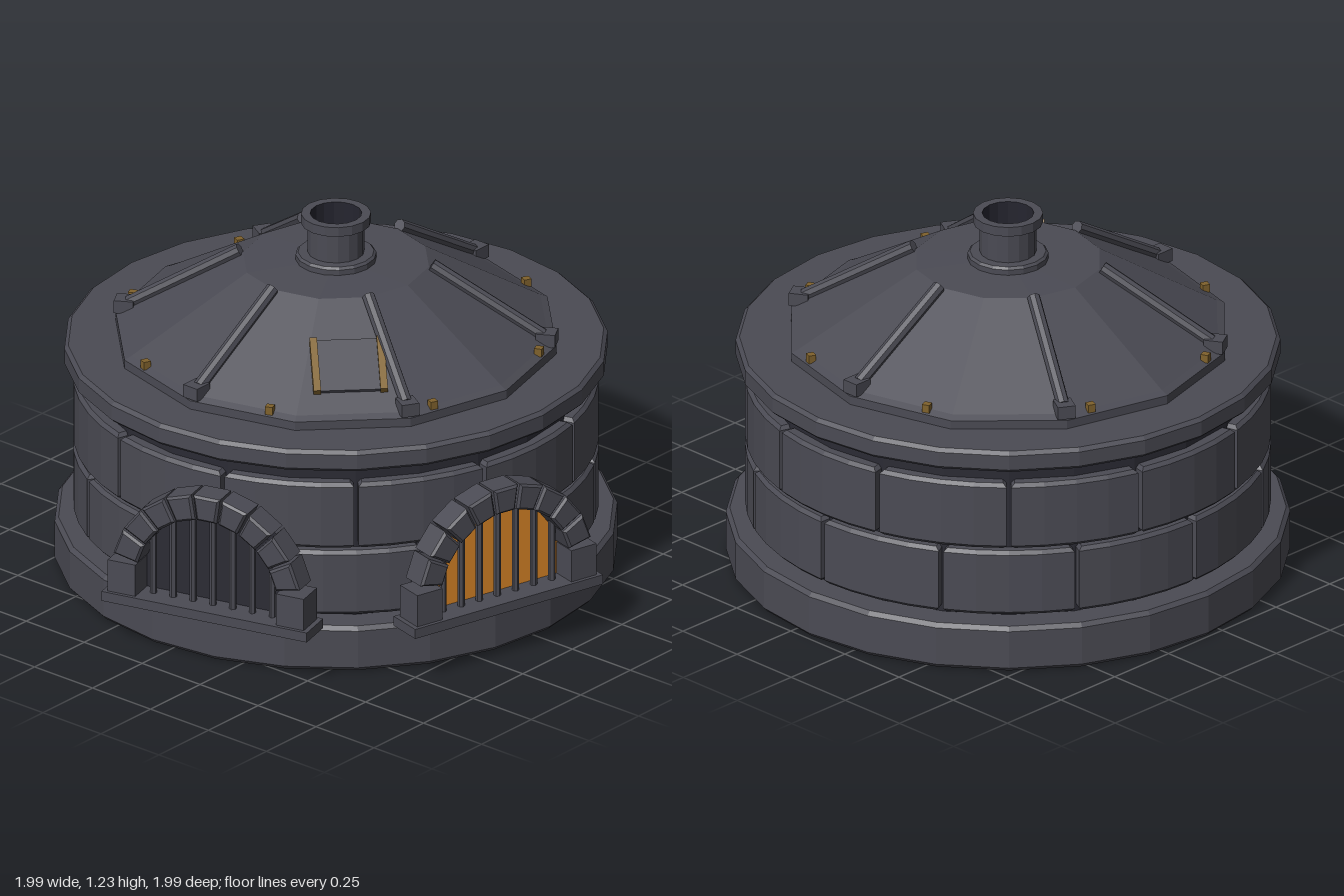
import * as THREE from 'three';

const mat = (name, color) => {
  const m = new THREE.MeshStandardMaterial({ color, flatShading: true });
  m.name = name;
  return m;
};

export function createModel() {
  const stone = mat('stone', 0x4b4b54);
  const dark = mat('dark mortar', 0x2b2b34);
  const soot = mat('soot', 0x25252f);
  const brass = mat('brass', 0x80622c);
  const glow = mat('fire glow', 0xe08a28);

  const model = new THREE.Group();
  model.name = 'furnace';
  const drum = new THREE.Group();
  drum.name = 'drum';
  drum.position.set(0.065, 0, -0.075);
  model.add(drum);

  const add = (parent, name, geo, material, x = 0, y = 0, z = 0) => {
    const m = new THREE.Mesh(geo, material);
    m.name = name;
    m.position.set(x, y, z);
    parent.add(m);
    return m;
  };
  const group = (parent, name, angle) => {
    const g = new THREE.Group();
    g.name = name;
    g.rotation.y = angle;
    parent.add(g);
    return g;
  };
  const lathe = (pts, sides) =>
    new THREE.LatheGeometry(pts.map(([r, y]) => new THREE.Vector2(r, y)), sides);
  const box = (w, h, d) => new THREE.BoxGeometry(w, h, d);
  const rad = THREE.MathUtils.degToRad;

  // Bevelled block shaped like a piece of a ring
  const ringBlock = (r0, r1, a0, a1, depth, bevel, segs) => {
    const s = new THREE.Shape();
    for (let i = 0; i <= segs; i++) {
      const a = a0 + ((a1 - a0) * i) / segs;
      s[i ? 'lineTo' : 'moveTo'](r1 * Math.cos(a), r1 * Math.sin(a));
    }
    for (let i = segs; i >= 0; i--) {
      const a = a0 + ((a1 - a0) * i) / segs;
      s.lineTo(r0 * Math.cos(a), r0 * Math.sin(a));
    }
    s.closePath();
    const g = new THREE.ExtrudeGeometry(s, {
      depth: depth - 2 * bevel, bevelEnabled: true, bevelSegments: 1,
      bevelSize: bevel, bevelThickness: bevel, bevelOffset: -bevel,
    });
    return g.translate(0, 0, bevel);
  };

  // Base, mortar core and cornice
  add(drum, 'base', lathe([[0, 0], [0.912, 0], [0.925, 0.014], [0.925, 0.146], [0.912, 0.16], [0, 0.16]], 24), stone);
  add(drum, 'mortarCore', lathe([[0.823, 0.15], [0.823, 0.71]], 24), dark);
  add(drum, 'cornice', lathe([[0.8, 0.705], [0.88, 0.705], [0.893, 0.717], [0.893, 0.768], [0.88, 0.78], [0.6, 0.78]], 24), stone);

  // Two staggered courses of wall blocks
  [[0.175, 0.23, 0], [0.415, 0.235, 15]].forEach(([y, h, offset], row) => {
    const geo = ringBlock(0.79, 0.862, rad(0.5), rad(29.5), h, 0.012, 4).rotateX(-Math.PI / 2);
    for (let i = 0; i < 12; i++) {
      add(drum, `wallBlock${row + 1}`, geo, stone, 0, y, 0).rotation.y = rad(offset + i * 30);
    }
  });

  // Faceted roof
  add(drum, 'roof', lathe([[0.7, 0.775], [0.735, 0.78], [0.735, 0.81], [0.71, 0.822], [0.31, 1.06], [0, 1.066]], 12), stone);

  // Roof ribs with foot blocks
  const ribLen = Math.hypot(0.37, 0.222);
  for (let i = 0; i < 6; i++) {
    const rib = group(drum, 'roofRib', rad(30 + i * 60));
    const rod = add(rib, 'ribRod', new THREE.CylinderGeometry(0.022, 0.022, ribLen, 8), stone, 0, 0.957, 0.505);
    rod.rotation.x = -Math.atan2(0.37, 0.222);
    add(rib, 'ribFoot', box(0.06, 0.045, 0.065), stone, 0, 0.838, 0.703);
  }

  // Rivets around the eaves
  for (let i = 0; i < 8; i++) {
    const rivet = group(drum, 'rivet', rad(22.5 + i * 45));
    add(rivet, 'rivetHead', box(0.026, 0.028, 0.026), brass, 0, 0.829, 0.7);
  }

  // Roof hatch with two brass rails
  const hatchTurn = group(drum, 'roofHatch', rad(-45));
  const hatch = group(hatchTurn, 'hatchSlope', 0);
  hatch.position.set(0, 0.922, 0.53);
  hatch.rotation.x = rad(31.3);
  add(hatch, 'hatchPanel', box(0.21, 0.016, 0.2), stone);
  for (const s of [-1, 1]) add(hatch, 'hatchRail', box(0.024, 0.028, 0.21), brass, s * 0.11, 0.004, 0);

  // Chimney
  add(drum, 'chimney', lathe([
    [0.133, 1.05], [0.133, 1.082], [0.125, 1.09], [0.093, 1.09], [0.093, 1.195],
    [0.115, 1.195], [0.115, 1.228], [0.085, 1.228],
  ], 16), stone);
  add(drum, 'flue', lathe([[0.085, 1.228], [0.085, 1.11], [0, 1.11]], 16), soot);

  // Arched opening with sill, stone frame, back and bars
  const springY = 0.27;
  const opening = new THREE.Shape();
  opening.moveTo(-0.265, 0.2);
  opening.lineTo(0.265, 0.2);
  opening.lineTo(0.265, springY);
  opening.absarc(0, springY, 0.265, 0, Math.PI, false);
  opening.closePath();

  const makeArch = (name, angle, lit) => {
    const arch = group(drum, name, angle);
    arch.position.set(0.94 * Math.sin(angle), 0, 0.94 * Math.cos(angle));
    add(arch, 'sill', box(0.746, 0.034, 0.125), stone, 0, 0.19, 0);
    for (const s of [-1, 1]) add(arch, 'jamb', box(0.1, 0.113, 0.1), stone, s * 0.306, 0.2635, 0);
    const step = 156 / 9;
    for (let i = 0; i < 9; i++) {
      const a = 12 + i * step;
      const block = ringBlock(0.258, 0.347, rad(a + 0.7), rad(a + step - 0.7), 0.1, 0.008, 1);
      add(arch, 'archStone', block, stone, 0, springY, -0.05);
    }
    add(arch, 'recess', new THREE.ExtrudeGeometry(opening, { depth: 0.1, bevelEnabled: false, curveSegments: 16 }),
      dark, 0, 0, -0.14);
    if (lit) add(arch, 'fireGlow', new THREE.ShapeGeometry(opening, 16), glow, 0, 0, -0.035);
    for (let i = -3; i <= 3; i++) {
      const x = i * 0.072;
      const h = springY + Math.sqrt(0.265 ** 2 - x * x) - 0.205;
      add(arch, 'bar', new THREE.CylinderGeometry(0.012, 0.012, h, 6), stone, x, 0.205 + h / 2, -0.005);
    }
  };
  makeArch('fireArch', rad(-15), true);
  makeArch('sideArch', rad(-75), false);

  return model;
}
